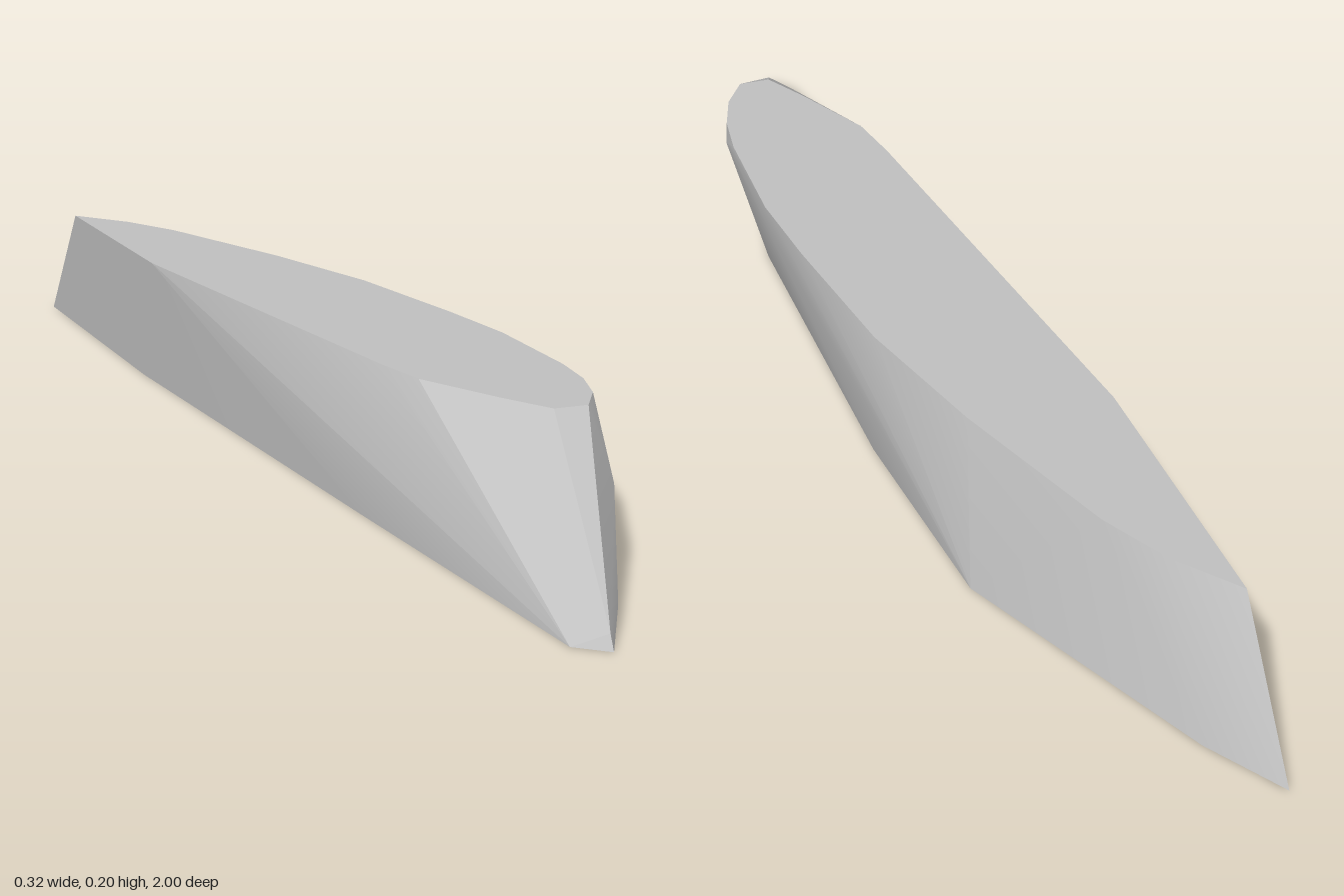
import * as THREE from 'three';
import { ConvexGeometry } from 'three/addons/geometries/ConvexGeometry.js';
import { toCreasedNormals } from 'three/addons/utils/BufferGeometryUtils.js';

// Outlines as [x, z] pairs at a fixed height
const topRim = [
  [-0.16, -0.84], [-0.09, -0.75], [-0.04, -0.65], [0, -0.53], [0.05, -0.38], [0.11, -0.15],
  [0.145, 0.1], [0.16, 0.25], [0.157, 0.45], [0.147, 0.53], [0.125, 0.6], [0.09, 0.655],
  [0.04, 0.655], [0, 0.58], [-0.06, 0.45], [-0.075, 0.36], [-0.16, -0.4],
];
const base = [
  [-0.16, -1], [-0.09, -0.89], [0.085, -0.5], [0.113, -0.15], [0.113, 0.42], [0.03, 0.83],
  [-0.05, 1], [-0.09, 0.965], [-0.12, 0.4], [-0.16, -0.45],
];
// Bulges of the flank between base and rim, as [x, y, z]
const flank = [
  [0.158, 0.165, 0.25], [0.156, 0.18, 0.5], [0.09, 0.115, 0.73], [0, 0.025, 0.915], [-0.05, 0.02, 0.99],
];

export function createModel() {
  const group = new THREE.Group();
  group.name = 'slab';
  const stone = new THREE.MeshStandardMaterial({ color: 0xc0c0c0 });
  stone.name = 'light grey';

  // Faceted block, flat above and below, tapering to a point at the front
  const points = [
    ...topRim.map(([x, z]) => new THREE.Vector3(x, 0.2, z)),
    ...base.map(([x, z]) => new THREE.Vector3(x, 0, z)),
    ...flank.map(([x, y, z]) => new THREE.Vector3(x, y, z)),
  ];
  const body = new THREE.Mesh(toCreasedNormals(new ConvexGeometry(points), 0.4), stone);
  body.name = 'body';
  group.add(body);
  return group;
}
